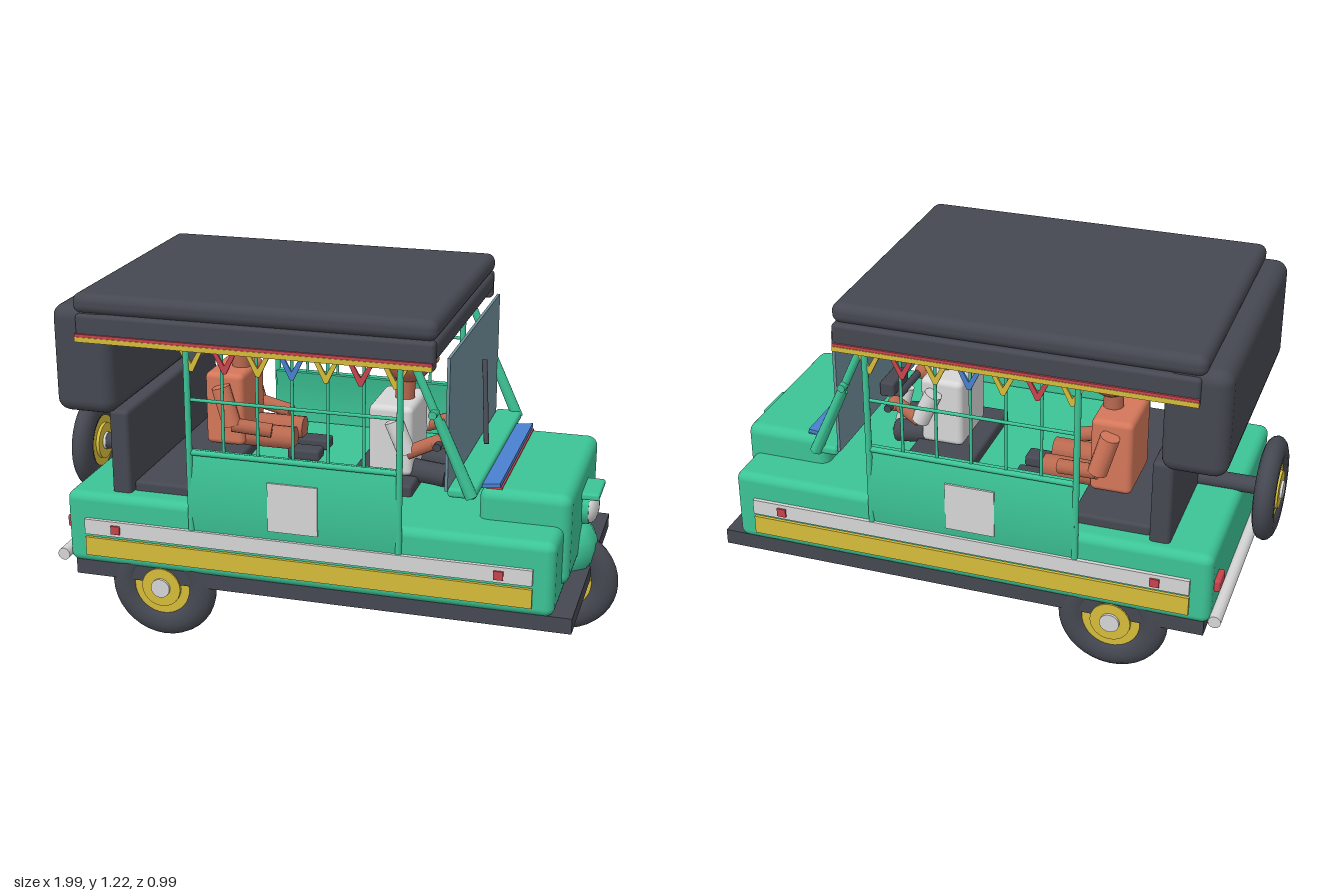
import * as THREE from 'three';
import { RoundedBoxGeometry } from 'three/addons/geometries/RoundedBoxGeometry.js';

const mat = (name, color) => {
  const m = new THREE.MeshStandardMaterial({ color });
  m.name = name;
  return m;
};

export function createModel() {
  const green = mat('green paint', 0x3cc496), dark = mat('dark canvas and rubber', 0x454851);
  const yellow = mat('yellow', 0xd6bc3a), chrome = mat('pale metal', 0xd6d6d6);
  const skin = mat('skin', 0xb9694f), shirt = mat('salmon shirt', 0xd4775a);
  const blue = mat('blue', 0x4a80d0), red = mat('red', 0xc8434c), glass = mat('glass', 0x6f8e98);
  const model = new THREE.Group();

  const add = (name, geo, m, x = 0, y = 0, z = 0, parent = model) => {
    const mesh = new THREE.Mesh(geo, m);
    mesh.name = name;
    mesh.position.set(x, y, z);
    parent.add(mesh);
    return mesh;
  };
  // box given by its extents; r rounds the edges
  const box = (name, m, [x0, x1], [y0, y1], [z0, z1], r = 0) => {
    const s = [x1 - x0, y1 - y0, z1 - z0];
    const g = r ? new RoundedBoxGeometry(...s, 3, r) : new THREE.BoxGeometry(...s);
    return add(name, g, m, (x0 + x1) / 2, (y0 + y1) / 2, (z0 + z1) / 2);
  };
  // rod from point a to point b
  const rod = (name, m, a, b, r, r2 = r) => {
    const p = new THREE.Vector3(...a), q = new THREE.Vector3(...b);
    const mesh = add(name, new THREE.CylinderGeometry(r2, r, p.distanceTo(q), 12), m);
    mesh.position.copy(p).add(q).multiplyScalar(0.5);
    mesh.quaternion.setFromUnitVectors(new THREE.Vector3(0, 1, 0), q.sub(p).normalize());
    return mesh;
  };
  const ball = (name, m, x, y, z, rx, ry = rx, rz = rx) => {
    const mesh = add(name, new THREE.SphereGeometry(1, 20, 14), m, x, y, z);
    mesh.scale.set(rx, ry, rz);
    return mesh;
  };
  const sides = (fn) => [1, -1].forEach(fn);
  const span = (s, a, b) => (s > 0 ? [a, b] : [-b, -a]);

  // Chassis, body and bonnet
  box('chassis', dark, [-0.835, 0.9], [0.21, 0.265], [-0.46, 0.46]);
  box('body', green, [-0.855, 0.84], [0.26, 0.52], [-0.473, 0.473], 0.03);
  box('bonnet', green, [0.555, 0.862], [0.305, 0.625], [-0.32, 0.32], 0.035);
  const cowl = box('cowlStrip', blue, [0.555, 0.625], [0.628, 0.642], [-0.31, 0.31]);
  cowl.rotation.z = 0.12;
  box('cowlLine', red, [0.565, 0.63], [0.622, 0.629], [-0.3, 0.3]);

  // Front fender, headlight and its hood
  const fender = add('frontFender', new THREE.SphereGeometry(1, 10, 8), green, 0.82, 0.325, 0);
  fender.scale.set(0.1, 0.11, 0.115);
  rod('headlightShell', green, [0.85, 0.477, 0], [0.885, 0.477, 0], 0.064);
  ball('headlight', chrome, 0.885, 0.477, 0, 0.03, 0.06, 0.06);
  box('headlightHood', green, [0.85, 0.922], [0.526, 0.55], [-0.08, 0.08], 0.008);

  // Wheels
  const wheel = (name, x, y, z, turn, scale = 1) => {
    const g = new THREE.Group();
    g.name = name;
    g.position.set(x, y, z);
    g.rotation.y = turn;
    g.scale.setScalar(scale);
    model.add(g);
    add('tyre', new THREE.TorusGeometry(0.138, 0.052, 14, 36), dark, 0, 0, 0, g).scale.z = 0.74;
    const disc = (n, r, w, m) =>
      (add(n, new THREE.CylinderGeometry(r, r, w, 24), m, 0, 0, 0, g).rotation.x = Math.PI / 2);
    disc('rim', 0.105, 0.05, yellow);
    disc('rimFace', 0.07, 0.075, yellow);
    disc('hubCap', 0.034, 0.094, chrome);
  };
  wheel('frontWheel', 0.805, 0.195, 0, 0);
  sides((s) => wheel('rearWheel', -0.52, 0.195, 0.428 * s, 0));
  wheel('spareWheel', -0.947, 0.535, 0, Math.PI / 2, 0.95);
  rod('spareMount', dark, [-0.93, 0.535, 0], [-0.66, 0.535, 0], 0.03);

  // Rear bumper and seat back
  rod('rearBumper', chrome, [-0.873, 0.285, -0.48], [-0.873, 0.285, 0.48], 0.022);
  box('rearSeatBack', dark, [-0.7, -0.63], [0.5, 0.815], [-0.43, 0.43], 0.015);

  // Canvas roof and rear hood
  box('roofTop', dark, [-0.795, 0.44], [1.155, 1.225], [-0.478, 0.478], 0.03);
  box('roofBase', dark, [-0.78, 0.44], [1.09, 1.16], [-0.455, 0.455], 0.02);
  box('rearHood', dark, [-0.875, -0.66], [0.808, 1.18], [-0.475, 0.475], 0.045);

  // Windscreen, sill and wiper
  box('windscreen', glass, [0.46, 0.47], [0.64, 1.09], [-0.41, 0.41]);
  box('windscreenSill', green, [0.47, 0.565], [0.622, 0.655], [-0.418, 0.418], 0.012);
  rod('wiper', dark, [0.515, 0.665, 0], [0.478, 0.93, -0.12], 0.009);

  // Curved door skin
  const doorGeo = new THREE.BoxGeometry(0.72, 0.335, 0.02, 1, 10, 1);
  const pos = doorGeo.attributes.position;
  for (let i = 0; i < pos.count; i++) {
    const t = pos.getY(i) / 0.1675;
    pos.setZ(i, pos.getZ(i) + 0.02 * (1 - t * t));
  }
  doorGeo.computeVertexNormals();

  // V-shaped pennant
  const vee = new THREE.Shape([[-0.04, 0.035], [-0.024, 0.035], [0, -0.008], [0.024, 0.035],
    [0.04, 0.035], [0.006, -0.035], [-0.006, -0.035]].map((p) => new THREE.Vector2(...p)));
  const veeGeo = new THREE.ExtrudeGeometry(vee, { depth: 0.008, bevelEnabled: false });
  const flags = [yellow, red, yellow, blue, yellow, red, yellow];

  sides((s) => {
    // Roof valance and trim
    box('valance', dark, [-0.78, 0.435], [1.062, 1.158], span(s, 0.443, 0.486), 0.012);
    box('valanceTrim', yellow, [-0.78, 0.43], [1.066, 1.083], span(s, 0.484, 0.495));
    box('valanceLine', red, [-0.78, 0.43], [1.083, 1.093], span(s, 0.484, 0.493));

    // Body side trim and lamps
    box('sideRail', chrome, [-0.785, 0.77], [0.375, 0.43], span(s, 0.465, 0.487));
    box('sideStripe', yellow, [-0.785, 0.77], [0.295, 0.362], span(s, 0.465, 0.484));
    [-0.67, 0.66].forEach((x) =>
      box('sideMarker', red, [x - 0.016, x + 0.016], [0.387, 0.417], span(s, 0.48, 0.494)));
    box('tailLight', red, [-0.875, -0.85], [0.368, 0.412], span(s, 0.35, 0.43), 0.008);

    // Door, plate and grille
    const door = add('door', doorGeo, green, -0.035, 0.547, 0.456 * s);
    if (s < 0) door.rotation.y = Math.PI;
    box('doorPlate', chrome, [-0.12, 0.053], [0.463, 0.635], span(s, 0.482, 0.489));
    [-0.395, 0.325].forEach((x) =>
      rod('doorPost', green, [x, 0.38, 0.474 * s], [x, 1.09, 0.474 * s], 0.011));
    rod('doorTopRail', green, [-0.395, 0.71, 0.472 * s], [0.325, 0.71, 0.472 * s], 0.01);
    rod('grilleRail', green, [-0.395, 0.895, 0.472 * s], [0.325, 0.895, 0.472 * s], 0.006);
    for (let i = 1; i < 6; i++) {
      const x = -0.395 + 0.12 * i;
      rod('grilleBar', green, [x, 0.7, 0.468 * s], [x, 1.08, 0.468 * s], 0.0055);
    }
    flags.forEach((m, i) => add('pennant', veeGeo, m, -0.377 + i * 0.1145, 1.03, 0.475 * s - 0.004));

    // Slanted windscreen posts with joints
    const z = 0.42 * s;
    rod('screenPost', green, [0.55, 0.63, z], [0.345, 1.09, z], 0.014);
    rod('screenPostSleeve', green, [0.55, 0.63, z - 0.008 * s], [0.438, 0.88, z - 0.008 * s], 0.021, 0.018);
    rod('postJoint', green, [0.425, 0.91, z - 0.01 * s], [0.425, 0.91, z + 0.035 * s], 0.014);
  });

  // Head with hair cap, facing forward
  const head = (x, y, z) => {
    rod('neck', skin, [x - 0.01, y - 0.16, z], [x - 0.01, y - 0.05, z], 0.035);
    ball('head', skin, x, y, z, 0.088, 0.098, 0.085);
    const hair = add('hair', new THREE.SphereGeometry(1, 20, 10, 0, Math.PI * 2, 0, Math.PI * 0.52),
      dark, x - 0.006, y + 0.012, z);
    hair.scale.set(0.094, 0.1, 0.092);
    hair.rotation.z = 0.65;
    ball('nose', skin, x + 0.09, y - 0.008, z, 0.018);
    sides((s) => ball('eye', dark, x + 0.078, y + 0.02, z + 0.032 * s, 0.01));
  };

  // Passenger
  const pz = -0.13;
  box('passengerSeat', dark, [-0.63, -0.36], [0.51, 0.555], [-0.4, 0.4], 0.012);
  box('passengerTorso', shirt, [-0.52, -0.375], [0.56, 0.83], [pz - 0.12, pz + 0.12], 0.02);
  head(-0.41, 0.965, pz);
  sides((s) => {
    const z = pz + 0.145 * s;
    rod('passengerUpperArm', shirt, [-0.45, 0.79, z], [-0.41, 0.65, z], 0.034);
    rod('passengerForearm', skin, [-0.41, 0.65, z], [-0.27, 0.63, z - 0.03 * s], 0.026);
    rod('passengerThigh', skin, [-0.44, 0.59, pz + 0.06 * s], [-0.2, 0.59, pz + 0.06 * s], 0.042);
    box('passengerShoe', dark, [-0.22, -0.1], [0.52, 0.56], [pz + 0.06 * s - 0.035, pz + 0.06 * s + 0.035], 0.01);
  });

  // Driver
  box('driverSeat', dark, [0.06, 0.3], [0.51, 0.56], [-0.2, 0.2], 0.012);
  box('driverTorso', chrome, [0.125, 0.28], [0.56, 0.81], [-0.12, 0.12], 0.02);
  head(0.235, 0.965, 0);
  sides((s) => {
    rod('driverUpperArm', chrome, [0.22, 0.77, 0.145 * s], [0.27, 0.66, 0.15 * s], 0.032);
    rod('driverForearm', skin, [0.27, 0.66, 0.15 * s], [0.36, 0.7, 0.13 * s], 0.024);
    ball('driverHand', skin, 0.37, 0.7, 0.13 * s, 0.028);
    rod('driverThigh', dark, [0.2, 0.58, 0.07 * s], [0.39, 0.56, 0.07 * s], 0.04);
  });

  // Steering column and handlebar
  rod('steeringColumn', chrome, [0.42, 0.51, 0], [0.37, 0.7, 0], 0.02);
  rod('handlebar', dark, [0.38, 0.7, -0.18], [0.38, 0.7, 0.18], 0.014);
  box('instrumentBox', dark, [0.4, 0.455], [0.685, 0.74], [-0.07, 0.07], 0.008);

  return model;
}
